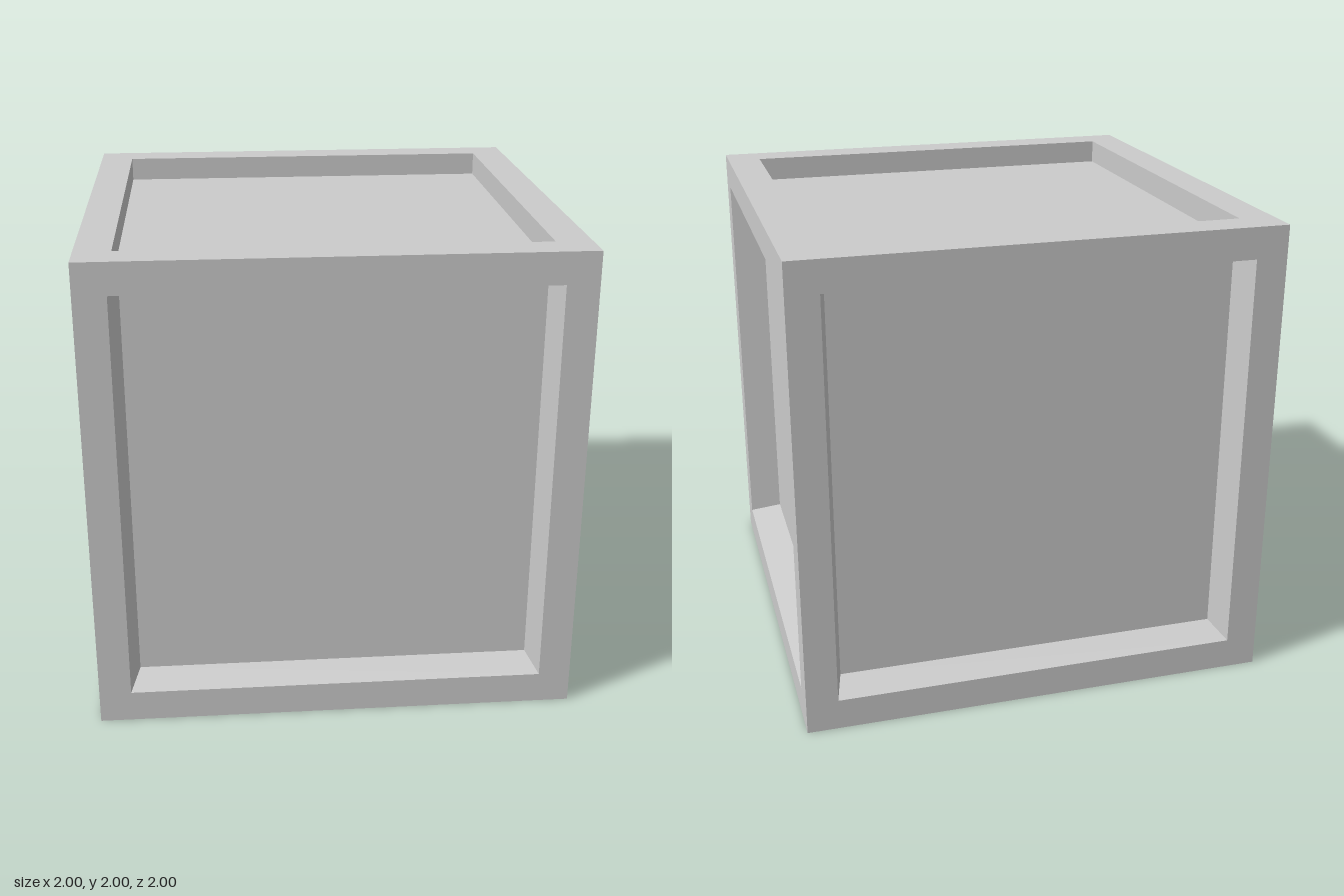
import * as THREE from 'three';

const material = new THREE.MeshStandardMaterial({ color: 0xcccccc, flatShading: true });

// One square side of the crate: flat border, sloped recess walls and sunken floor.
// A four-sided lathe around +y gives the concentric squares.
function sideGeometry(rim, floor, depth) {
  const profile = [[1, 1], [rim, 1], [floor, 1 - depth], [0, 1 - depth]]
    .map(([half, y]) => new THREE.Vector2(half * Math.SQRT2, y));
  const geometry = new THREE.LatheGeometry(profile, 4, Math.PI / 4).toNonIndexed();
  geometry.computeVertexNormals();
  return geometry;
}

export function createModel() {
  const crate = new THREE.Group();
  crate.name = 'crate';

  const lid = sideGeometry(0.853, 0.853, 0.103);
  const frontBack = sideGeometry(0.868, 0.833, 0.138);
  const leftRight = sideGeometry(0.868, 0.84, 0.145);

  const q = Math.PI / 2;
  const sides = [
    ['topPanel', lid, 0, 0],
    ['bottomPanel', lid, Math.PI, 0],
    ['frontPanel', frontBack, q, 0],
    ['backPanel', frontBack, -q, 0],
    ['leftPanel', leftRight, 0, -q],
    ['rightPanel', leftRight, 0, q],
  ];
  for (const [name, geometry, rx, rz] of sides) {
    const mesh = new THREE.Mesh(geometry, material);
    mesh.name = name;
    mesh.rotation.set(rx, 0, rz);
    mesh.position.y = 1;
    crate.add(mesh);
  }
  return crate;
}
